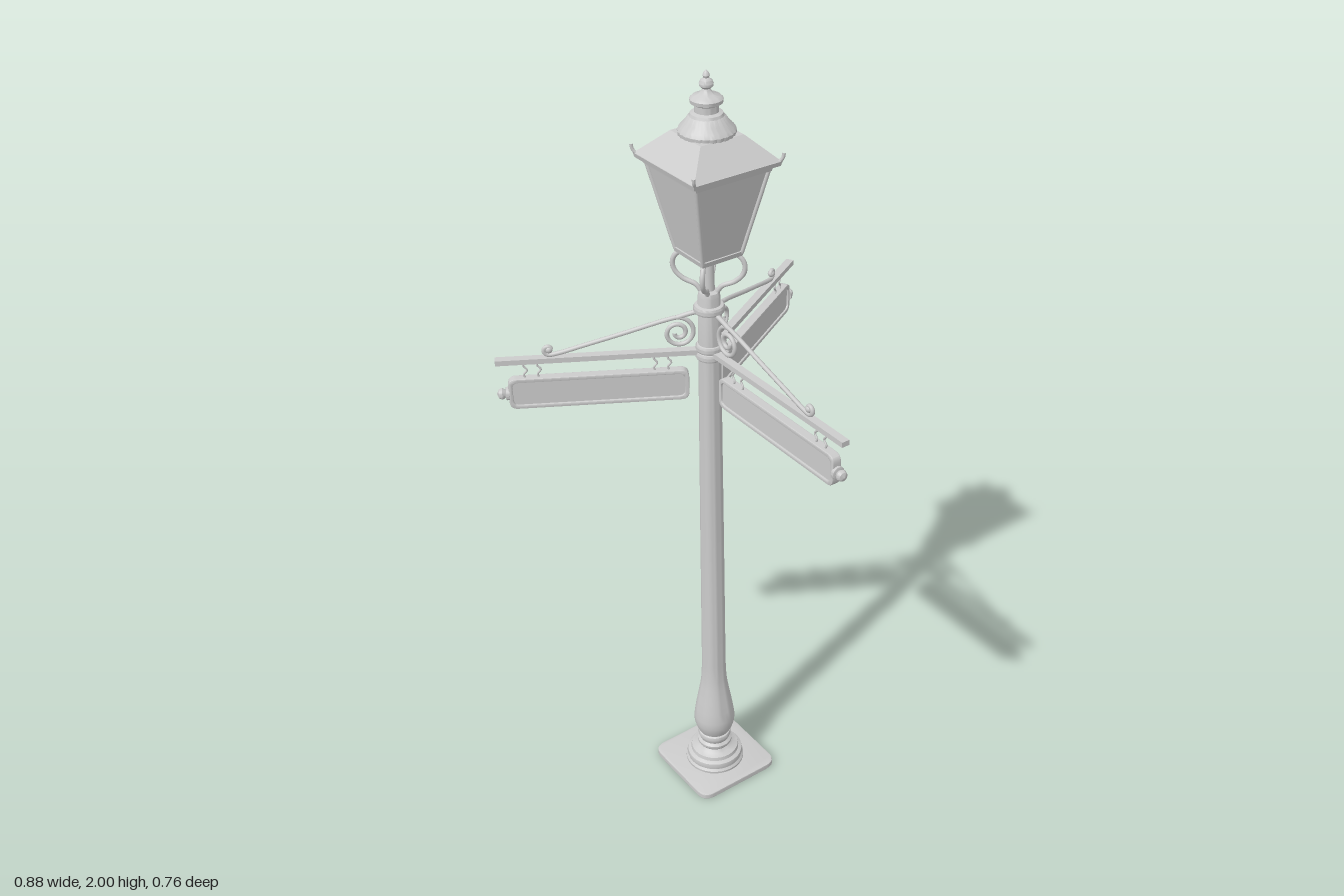
import * as THREE from 'three';
import { toCreasedNormals } from 'three/addons/utils/BufferGeometryUtils.js';

const metal = new THREE.MeshStandardMaterial({ color: 0xcccccc });

function add(parent, name, geometry, x = 0, y = 0, z = 0) {
  const mesh = new THREE.Mesh(geometry, metal);
  mesh.name = name;
  mesh.position.set(x, y, z);
  parent.add(mesh);
  return mesh;
}

// Turned part from [radius, height] pairs
function turned(points, segments = 32) {
  const profile = points.map(([r, y]) => new THREE.Vector2(r, y));
  return toCreasedNormals(new THREE.LatheGeometry(profile, segments), 0.6);
}

// Four-sided frustum given by its half widths
function frustum(top, bottom, y0, y1) {
  const g = new THREE.CylinderGeometry(top * Math.SQRT2, bottom * Math.SQRT2, y1 - y0, 4);
  g.rotateY(Math.PI / 4);
  g.translate(0, (y0 + y1) / 2, 0);
  return toCreasedNormals(g, 0.5);
}

// Round rod through [x, y, z] points
function rod(points, radius, segments = 32) {
  const curve = new THREE.CatmullRomCurve3(points.map(p => new THREE.Vector3(p[0], p[1], p[2] || 0)), false, 'centripetal');
  return new THREE.TubeGeometry(curve, segments, radius, 8);
}

// Rectangle with rounded corners, as a Shape or a Path
function rounded(target, x0, y0, x1, y1, r) {
  target.moveTo(x0 + r, y0).lineTo(x1 - r, y0);
  target.quadraticCurveTo(x1, y0, x1, y0 + r).lineTo(x1, y1 - r);
  target.quadraticCurveTo(x1, y1, x1 - r, y1).lineTo(x0 + r, y1);
  target.quadraticCurveTo(x0, y1, x0, y1 - r).lineTo(x0, y0 + r);
  target.quadraticCurveTo(x0, y0, x0 + r, y0);
  return target;
}

function extrude(shape, depth, bevel = 0) {
  const g = new THREE.ExtrudeGeometry(shape, {
    depth: depth - 2 * bevel, bevelEnabled: bevel > 0, bevelSize: bevel, bevelThickness: bevel,
    bevelOffset: -bevel, bevelSegments: 2, curveSegments: 6,
  });
  g.translate(0, 0, bevel - depth / 2);
  return toCreasedNormals(g, 0.5);
}

// One arm with its scrolled brace and hanging sign, pointing along +x
function createArm() {
  const arm = new THREE.Group();
  arm.name = 'signArm';
  add(arm, 'armBar', new THREE.BoxGeometry(0.48, 0.013, 0.02), 0.26, 1.325, 0);

  // Brace: spiral by the post, sloping rod, small curl at the tip
  const path = [];
  for (let i = 0; i <= 28; i++) {
    const t = i / 28, a = Math.PI / 2 + (1 - t) * Math.PI * 3.5, r = 0.008 + 0.032 * t;
    path.push([0.073 + r * Math.cos(a), 1.376 + r * Math.sin(a)]);
  }
  path.push([0.1, 1.411], [0.2, 1.382], [0.3, 1.354], [0.35, 1.34]);
  for (let i = 0; i <= 8; i++) {
    const a = -Math.PI / 2 + i * 0.55, r = 0.013 - i * 0.0008;
    path.push([0.375 + r * Math.cos(a), 1.349 + r * Math.sin(a)]);
  }
  add(arm, 'scrollBrace', rod(path, 0.0055, 150));
  add(arm, 'curlBead', new THREE.SphereGeometry(0.009, 12, 8), 0.374, 1.35, 0);
  add(arm, 'braceEnd', rod([[0.02, 1.43], [0.045, 1.425], [0.075, 1.416]], 0.006, 8));

  // Hooks holding the sign
  for (const x of [0.095, 0.128, 0.4, 0.432]) {
    add(arm, 'signHook', rod([[x, 1.32], [x + 0.004, 1.311], [x - 0.004, 1.299], [x + 0.004, 1.287], [x, 1.276]], 0.0025, 16));
  }

  // Framed sign with a knob on its outer end
  const frame = rounded(new THREE.Shape(), 0.05, 1.2, 0.475, 1.28, 0.02);
  frame.holes.push(rounded(new THREE.Path(), 0.06, 1.21, 0.465, 1.27, 0.015));
  add(arm, 'signFrame', extrude(frame, 0.024, 0.003));
  add(arm, 'signPanel', extrude(rounded(new THREE.Shape(), 0.056, 1.206, 0.469, 1.274, 0.017), 0.014));
  const knob = turned([[0, 0], [0.016, 0], [0.016, 0.008], [0.01, 0.01], [0.014, 0.017], [0.011, 0.025], [0, 0.03]], 16);
  knob.rotateZ(-Math.PI / 2);
  add(arm, 'signKnob', knob, 0.473, 1.238, 0);
  return arm;
}

function createLantern() {
  const lantern = new THREE.Group();
  lantern.name = 'lantern';
  add(lantern, 'lanternStem', new THREE.CylinderGeometry(0.011, 0.014, 0.1, 16), 0, 1.535, 0);
  add(lantern, 'lanternFloor', frustum(0.058, 0.055, 1.575, 1.587));
  add(lantern, 'lanternGlass', frustum(0.096, 0.053, 1.583, 1.792));
  add(lantern, 'lanternTopRail', frustum(0.104, 0.1, 1.782, 1.798));
  add(lantern, 'roofEave', frustum(0.117, 0.114, 1.795, 1.806));
  add(lantern, 'roof', frustum(0.057, 0.115, 1.806, 1.862));

  // Corner bars, eave tips and curved supports on the diagonals
  for (let i = 0; i < 4; i++) {
    const corner = new THREE.Group();
    corner.name = 'lanternCorner';
    corner.rotation.y = Math.PI / 4 + i * Math.PI / 2;
    add(corner, 'cornerBar', rod([[0.076, 1.583], [0.137, 1.79]], 0.005, 1));
    add(corner, 'eaveTip', rod([[0.15, 1.802], [0.16, 1.807], [0.166, 1.815], [0.168, 1.826]], 0.004, 8));
    add(corner, 'curvedSupport', rod([[0.018, 1.478], [0.03, 1.495], [0.06, 1.509], [0.08, 1.53],
      [0.083, 1.553], [0.072, 1.572], [0.054, 1.579]], 0.006, 24));
    lantern.add(corner);
  }

  // Scalloped dome
  const dome = new THREE.LatheGeometry([[0.054, 1.856], [0.064, 1.861], [0.065, 1.869], [0.06, 1.877], [0.049, 1.888],
    [0.041, 1.9], [0.032, 1.905]].map(p => new THREE.Vector2(...p)), 96);
  const pos = dome.attributes.position;
  for (let i = 0; i < pos.count; i++) {
    const x = pos.getX(i), z = pos.getZ(i);
    const s = 1 - 0.035 * (1 - Math.abs(Math.sin(Math.atan2(z, x) * 12)));
    pos.setX(i, x * s);
    pos.setZ(i, z * s);
  }
  dome.computeVertexNormals();
  add(lantern, 'scallopedDome', toCreasedNormals(dome, 0.6));
  add(lantern, 'finial', turned([[0.04, 1.898], [0.036, 1.907], [0.027, 1.91], [0.027, 1.925], [0.036, 1.93], [0.037, 1.938],
    [0.031, 1.944], [0.018, 1.948], [0.011, 1.955], [0.009, 1.96], [0.015, 1.965], [0.016, 1.971], [0.013, 1.978],
    [0.006, 1.983], [0.008, 1.988], [0.006, 1.994], [0, 2]]));
  return lantern;
}

export function createModel() {
  const model = new THREE.Group();
  model.name = 'lampPost';
  const post = new THREE.Group();
  post.name = 'post';
  post.position.z = -0.125;
  model.add(post);

  // Base plate with rounded corners
  const plate = extrude(rounded(new THREE.Shape(), -0.124, -0.124, 0.124, 0.124, 0.035), 0.016, 0.003);
  plate.rotateX(-Math.PI / 2);
  add(post, 'basePlate', plate, 0, 0.008, 0);

  // Turned foot, bulb and tapering column
  add(post, 'foot', turned([[0.08, 0.012], [0.08, 0.022], [0.075, 0.028], [0.077, 0.036], [0.075, 0.045], [0.066, 0.05],
    [0.064, 0.06], [0.05, 0.064], [0.043, 0.072], [0.047, 0.078], [0.047, 0.085], [0.04, 0.091], [0.043, 0.098],
    [0.045, 0.106], [0.043, 0.113], [0.036, 0.117], [0.044, 0.123]]));
  add(post, 'column', turned([[0.043, 0.12], [0.05, 0.135], [0.055, 0.155], [0.055, 0.175], [0.051, 0.205], [0.045, 0.24],
    [0.038, 0.28], [0.034, 0.31], [0.032, 0.36], [0.03, 0.8], [0.027, 1.31], [0.026, 1.47], [0.023, 1.48], [0, 1.485]]));
  for (const [y, r] of [[1.315, 0.034], [1.335, 0.033], [1.437, 0.037]]) {
    add(post, 'collar', turned([[0.024, -0.011], [r - 0.003, -0.009], [r, -0.004], [r, 0.004], [r - 0.003, 0.009], [0.024, 0.011]]), 0, y, 0);
  }

  // Three arms, evenly spaced, one facing forward
  for (let i = 0; i < 3; i++) {
    const arm = createArm();
    arm.rotation.y = -Math.PI / 2 + (i * Math.PI * 2) / 3;
    post.add(arm);
  }
  post.add(createLantern());
  return model;
}
